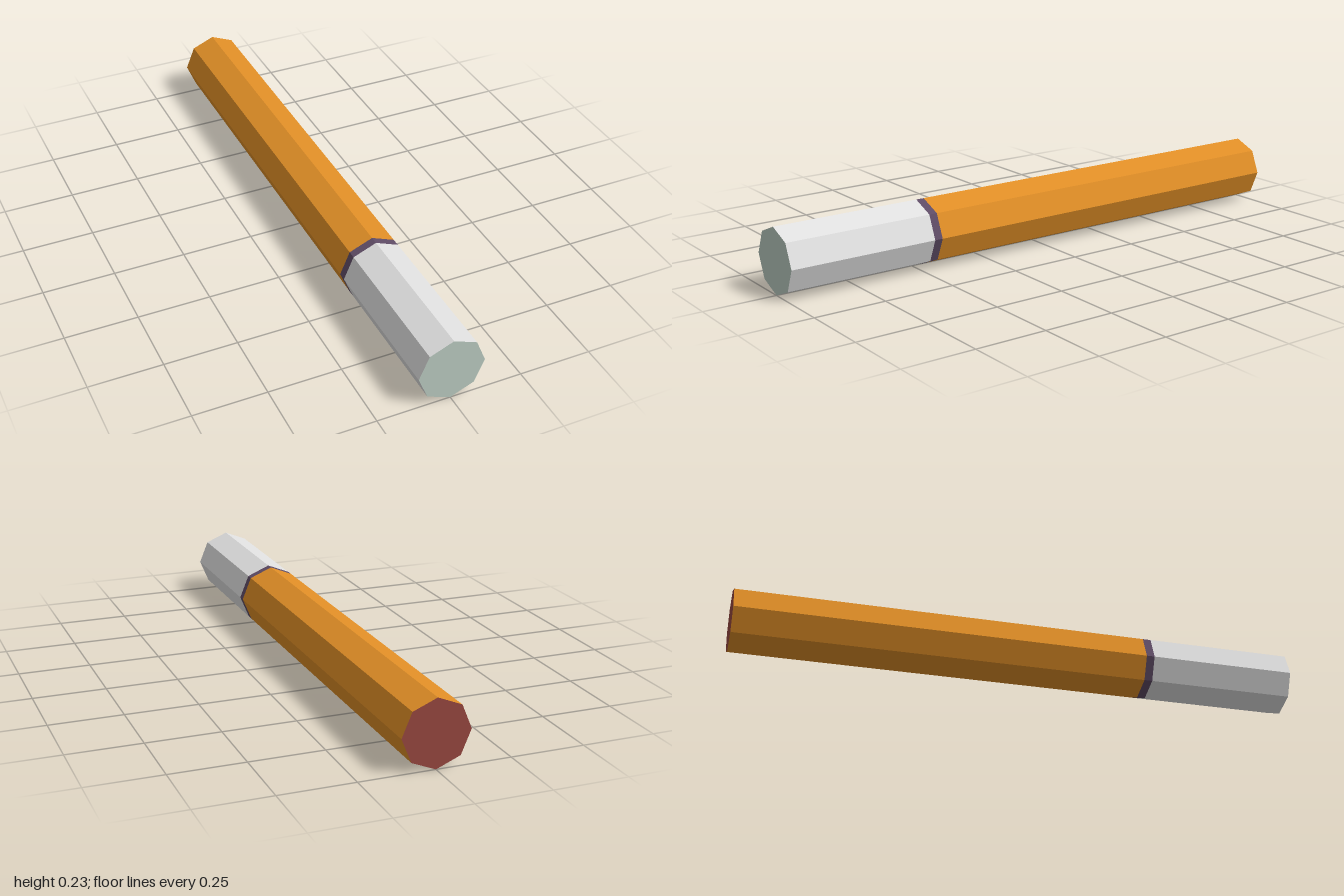
import * as THREE from 'three';

const RADIUS = 0.1135;
const SIDES = 8;

function material(name, color, flat = true) {
  const m = new THREE.MeshStandardMaterial({ color, flatShading: flat });
  m.name = name;
  return m;
}

export function createModel() {
  const model = new THREE.Group();
  model.name = 'octagonalStick';

  const add = (name, geometry, mat, z) => {
    const mesh = new THREE.Mesh(geometry, mat);
    mesh.name = name;
    mesh.position.set(0, RADIUS, z);
    model.add(mesh);
  };

  // Open octagonal sleeve running along z
  const sleeve = (name, z0, z1, mat) => {
    const g = new THREE.CylinderGeometry(RADIUS, RADIUS, z1 - z0, SIDES, 1, true);
    g.rotateX(Math.PI / 2);
    add(name, g, mat, (z0 + z1) / 2);
  };

  // Main body, narrow ring and pale front section
  sleeve('body', -1, 0.447, material('orange', 0xe08e26));
  sleeve('ring', 0.447, 0.476, material('darkPurple', 0x5f4c66));
  sleeve('frontSection', 0.476, 1, material('paleGrey', 0xe0e0e0));

  // End faces
  add('frontEnd', new THREE.CircleGeometry(RADIUS, SIDES), material('sage', 0xb9cabf), 1);
  add('backEnd', new THREE.CircleGeometry(RADIUS, SIDES).rotateY(Math.PI), material('darkRed', 0x95463f), -1);

  return model;
}
